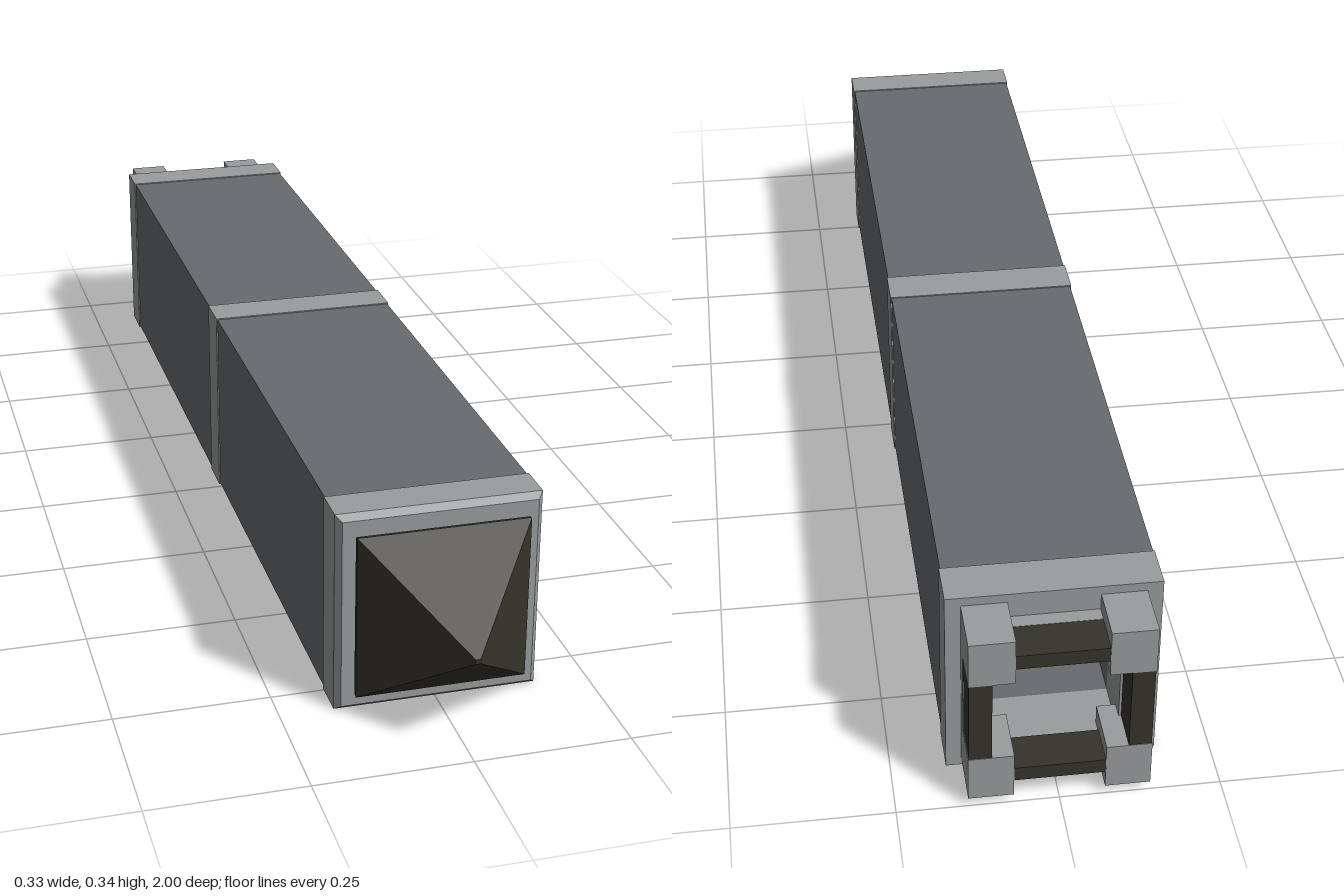
import * as THREE from 'three';

const W = 0.328, H = 0.336, CY = 0.168; // shell width, height and axis height

export function createModel() {
  const model = new THREE.Group();
  const mat = (name, color) => {
    const m = new THREE.MeshStandardMaterial({ color });
    m.name = name;
    return m;
  };
  const shellGrey = mat('shell grey', 0x676b6e);
  const bandGrey = mat('band light grey', 0x999d9d);
  const darkMetal = mat('dark metal', 0x35342b);

  const add = (name, geometry, material, x = 0, y = CY, z = 0) => {
    const mesh = new THREE.Mesh(geometry, material);
    mesh.name = name;
    mesh.position.set(x, y, z);
    model.add(mesh);
    return mesh;
  };
  const rect = (Type, w, h) => new Type([
    new THREE.Vector2(-w / 2, -h / 2), new THREE.Vector2(w / 2, -h / 2),
    new THREE.Vector2(w / 2, h / 2), new THREE.Vector2(-w / 2, h / 2)]);

  // Square tube running from z0 to z1 around the central channel
  const tube = (name, w, h, z0, z1, material, hole = 0.2) => {
    const shape = rect(THREE.Shape, w, h);
    shape.holes.push(rect(THREE.Path, hole, hole + 0.01));
    const g = new THREE.ExtrudeGeometry(shape, { depth: z1 - z0, bevelEnabled: false });
    return add(name, g, material, 0, CY, z0);
  };
  // Four-sided frustum pointing along +z, radii are half widths
  const frustum = (front, back, length) => new THREE.CylinderGeometry(
    front * Math.SQRT2, back * Math.SQRT2, length, 4).toNonIndexed()
    .rotateY(Math.PI / 4).rotateX(Math.PI / 2);

  // Long hollow shell and its bands
  tube('rearShell', W - 0.004, H - 0.004, -0.84, -0.08, shellGrey);
  tube('frontShell', W - 0.004, H - 0.004, -0.01, 0.745, shellGrey);
  tube('rearBand', W, H, -0.912, -0.84, bandGrey);
  tube('middleBand', W, H, -0.08, -0.01, bandGrey);

  // Front cap with a bevelled lip
  add('frontBand', new THREE.BoxGeometry(W, H, 0.062), bandGrey, 0, CY, 0.776);
  const lip = frustum(0.155, 0.164, 0.011);
  lip.scale(1, H / W, 1);
  lip.computeVertexNormals();
  add('frontLip', lip, bandGrey, 0, CY, 0.8125);

  // Pointed tip on a narrow collar
  add('tipCollar', new THREE.BoxGeometry(0.24, 0.24, 0.014), darkMetal, 0, CY + 0.003, 0.823);
  add('tipPlate', new THREE.BoxGeometry(0.274, 0.27, 0.008), darkMetal, 0, CY + 0.003, 0.833);
  const tip = frustum(0.004, 0.137, 0.163);
  tip.computeVertexNormals();
  add('pyramidTip', tip, darkMetal, 0, CY + 0.003, 0.9185);

  // Rear coupling: collar, four corner blocks and dark contact plates
  tube('couplingCollar', 0.28, 0.25, -0.935, -0.91, bandGrey);
  for (const sx of [-1, 1]) {
    for (const sy of [-1, 1]) {
      add('couplingCorner', new THREE.BoxGeometry(0.07, 0.08, 0.09), bandGrey,
        sx * 0.105, CY + sy * 0.113, -0.955);
    }
    add('sideContact', new THREE.BoxGeometry(0.035, 0.146, 0.065), darkMetal,
      sx * 0.1215, CY, -0.9665);
    add('verticalContact', new THREE.BoxGeometry(0.14, 0.025, 0.065), darkMetal,
      0, CY + sx * 0.112, -0.9665);
  }
  return model;
}
